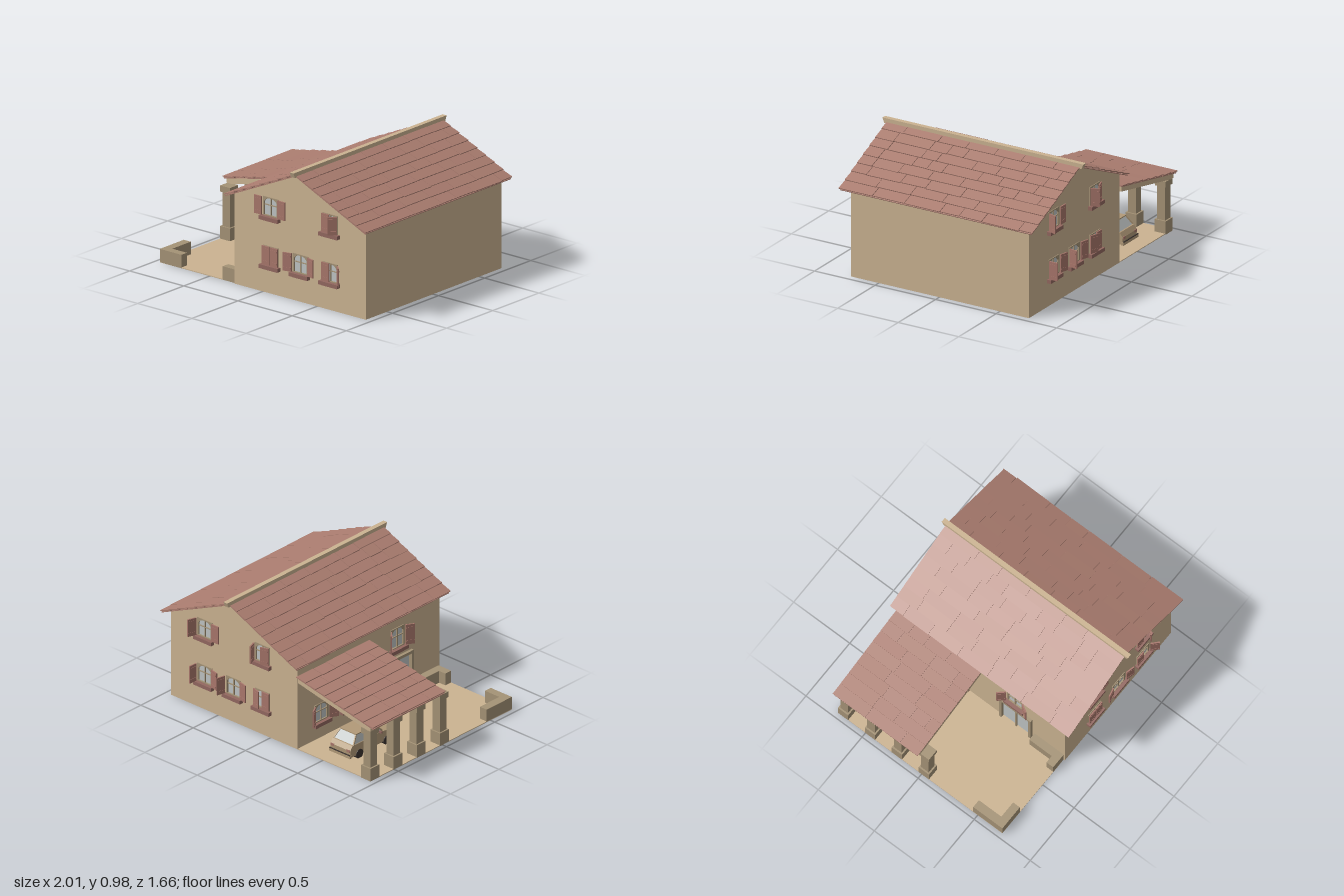
import * as THREE from 'three';

const mat = (name, color) => {
  const m = new THREE.MeshStandardMaterial({ color });
  m.name = name;
  return m;
};
const plaster = mat('plaster', 0xcbb391), stone = mat('stone', 0xa59376), tile = mat('roofTile', 0xab7d70);
const shutterMat = mat('shutterWood', 0xa8766b), sillMat = mat('sillWood', 0x936860);
const glass = mat('glass', 0xbfc4c4), paint = mat('carPaint', 0xb29a78), dark = mat('darkRubber', 0x3c3430);
glass.side = THREE.DoubleSide;

let seed = 7;
const rnd = () => (seed = (seed * 16807) % 2147483647) / 2147483647;

function add(parent, name, geo, material, x = 0, y = 0, z = 0) {
  const m = new THREE.Mesh(geo, material);
  m.name = name;
  m.position.set(x, y, z);
  parent.add(m);
  return m;
}
const box = (parent, name, material, w, h, d, x, y, z) =>
  add(parent, name, new THREE.BoxGeometry(w, h, d), material, x, y, z);
function group(parent, name, x = 0, y = 0, z = 0) {
  const g = new THREE.Group();
  g.name = name;
  g.position.set(x, y, z);
  parent.add(g);
  return g;
}
const extrude = (shape, depth) => new THREE.ExtrudeGeometry(shape, { depth, bevelEnabled: false, curveSegments: 6 });
const poly = pts => new THREE.Shape(pts.map(p => new THREE.Vector2(...p)));
const rect = (u, y, w, h) => [[u - w / 2, y - h / 2], [u + w / 2, y - h / 2], [u + w / 2, y + h / 2], [u - w / 2, y + h / 2]];

// Opening outline with a gently arched head
function archOutline(w, h, rise) {
  const s = new THREE.Shape();
  s.moveTo(-w / 2, -h / 2);
  s.lineTo(w / 2, -h / 2);
  s.lineTo(w / 2, h / 2 - rise);
  s.quadraticCurveTo(w / 2 - 0.015, h / 2, 0, h / 2);
  s.quadraticCurveTo(-w / 2 + 0.015, h / 2, -w / 2, h / 2 - rise);
  return s;
}

// Framed window with sill and two hinged shutters (angle 0 closed, PI folded back)
function addWindow(parent, { u, y, w = 0.14, h = 0.14, swing }) {
  const g = group(parent, 'window', u, y, 0);
  const frame = poly(rect(0, 0, w, h));
  frame.holes.push(archOutline(w - 0.024, h - 0.014, 0.03));
  add(g, 'windowFrame', extrude(frame, 0.018), stone, 0, 0, -0.012);
  add(g, 'windowPane', new THREE.PlaneGeometry(w - 0.01, h - 0.008), glass, 0, 0, -0.005);
  box(g, 'mullion', stone, 0.008, h - 0.014, 0.008, 0, 0, -0.001);
  box(g, 'glazingBar', stone, w - 0.024, 0.006, 0.008, 0, 0.012, -0.001);
  box(g, 'sill', sillMat, w + 0.032, 0.028, 0.034, 0, -h / 2 - 0.014, 0.016);
  box(g, 'sillBracket', sillMat, w, 0.01, 0.02, 0, -h / 2 - 0.03, 0.01);
  for (const side of [-1, 1]) {
    const hinge = group(g, 'shutter', side * (w / 2 + 0.003), 0, 0.014);
    hinge.rotation.y = side * swing[side < 0 ? 0 : 1];
    box(hinge, 'shutterLeaf', shutterMat, 0.068, h - 0.004, 0.01, -side * 0.035, 0, 0);
    for (const e of [-1, 1])
      box(hinge, 'shutterBatten', shutterMat, 0.056, 0.012, 0.014, -side * 0.035, e * h * 0.32, 0);
  }
}

// Thin wall in its own u/y plane, facing local +z, with openings cut out
function addWall(parent, name, outline, windows, place, angle, door) {
  const g = group(parent, name, ...place);
  g.rotation.y = angle;
  const s = poly(outline);
  for (const { u, y, w = 0.14, h = 0.14 } of windows) s.holes.push(poly(rect(u, y, w, h)));
  if (door) s.holes.push(poly(rect(door.u, door.h / 2 + 0.003, door.w, door.h - 0.004)));
  add(g, name + 'Panel', extrude(s, 0.01), plaster, 0, 0, -0.01);
  windows.forEach(o => addWindow(g, o));
  if (door) {
    const { u, w, h } = door;
    add(g, 'doorGlass', new THREE.PlaneGeometry(w, h), glass, u, h / 2, -0.004);
    for (const k of [-1, 0, 1])
      box(g, 'doorPost', stone, k ? 0.022 : 0.014, h, k ? 0.036 : 0.014, u + k * w / 2, h / 2, 0.004);
    box(g, 'doorLintel', stone, w + 0.022, 0.022, 0.036, u, h, 0.004);
  }
}

// Overlapping tile rows; local x climbs from the eave
function addRoof(parent, name, run, rise, z0, z1, rows, place, turn = 0) {
  const outer = group(parent, name, ...place);
  outer.rotation.y = turn;
  const g = group(outer, name + 'Slope');
  g.rotation.z = Math.atan2(rise, run);
  const len = Math.hypot(run, rise), step = len / rows, mid = (z0 + z1) / 2;
  box(g, 'roofDeck', tile, len, 0.006, z1 - z0 - 0.02, len / 2, 0.003, mid);
  for (let i = 0; i < rows; i++) {
    for (let z = z0; z < z1 - 0.001;) {
      let l = 0.12 + rnd() * 0.2;
      if (z1 - z - l < 0.08) l = z1 - z;
      const depth = i < rows - 1 ? step * 1.14 : step;
      const t = box(g, 'roofTile', tile, depth, 0.007, l - 0.004,
        i * step + depth / 2 + (rnd() - 0.5) * 0.006, 0.0125 + rnd() * 0.002, z + l / 2);
      t.rotation.z = -0.07 - rnd() * 0.03;
      t.rotation.y = (rnd() - 0.5) * 0.02;
      z += l;
    }
  }
}

function addCar(parent) {
  const car = group(parent, 'car', -0.57, 0, -0.4);
  const side = poly([[-0.23, 0.035], [0.225, 0.035], [0.235, 0.075], [0.22, 0.1], [0.09, 0.122], [-0.21, 0.122], [-0.235, 0.09]]);
  add(car, 'carBody', extrude(side, 0.19).rotateY(-Math.PI / 2), paint, 0.095, 0, 0);
  // Cabin narrowing toward the roof
  const cab = new THREE.BoxGeometry(0.182, 0.062, 0.3), p = cab.attributes.position;
  for (let i = 0; i < p.count; i++)
    if (p.getY(i) > 0) {
      p.setX(i, p.getX(i) * 0.82);
      p.setZ(i, p.getZ(i) * 0.68);
    }
  cab.computeVertexNormals();
  add(car, 'carWindows', cab, glass, 0, 0.152, -0.05);
  box(car, 'carRoof', paint, 0.156, 0.008, 0.212, 0, 0.185, -0.05);
  for (const s of [-1, 1]) {
    for (const e of [-1, 1]) {
      const post = box(car, 'roofPost', paint, 0.009, 0.072, 0.01, s * 0.083, 0.152, -0.05 + e * 0.126);
      post.rotation.set(-e * 0.66, 0, s * 0.25);
    }
    for (const z of [-0.14, 0.145])
      add(car, 'wheel', new THREE.CylinderGeometry(0.036, 0.036, 0.035, 16).rotateZ(Math.PI / 2), dark, s * 0.082, 0.036, z);
    box(car, 'wingMirror', sillMat, 0.022, 0.016, 0.012, s * 0.105, 0.128, 0.07);
    box(car, 'headlight', glass, 0.036, 0.016, 0.008, s * 0.07, 0.08, 0.233);
    box(car, 'tailLight', shutterMat, 0.03, 0.018, 0.008, s * 0.075, 0.085, -0.233);
  }
  box(car, 'grille', dark, 0.09, 0.012, 0.008, 0, 0.08, 0.233);
  for (const e of [-1, 1]) {
    box(car, 'bumper', paint, 0.2, 0.022, 0.02, 0, 0.044, e * 0.235);
    box(car, 'bumperStrip', dark, 0.196, 0.005, 0.008, 0, 0.058, e * 0.242);
  }
}

export function createModel() {
  const root = new THREE.Group();
  root.name = 'house';
  const PI = Math.PI, up = 0.643, low = 0.28;

  // Walls
  const gable = [[-0.26, 0], [0.95, 0], [0.95, 0.674], [0.35, 0.945], [-0.26, 0.674]];
  addWall(root, 'frontWall', gable, [
    { u: 0.075, y: up, swing: [PI, PI] }, { u: 0.625, y: up, swing: [0, 0.75] },
    { u: 0.075, y: low, swing: [0, 0] }, { u: 0.35, y: low, swing: [2.9, 2.9] }, { u: 0.625, y: low, swing: [0, 2.4] },
  ], [0, 0, 0.73], 0);
  addWall(root, 'backWall', gable.map(([x, y]) => [-x, y]).reverse(), [
    { u: -0.625, y: up, swing: [1.9, PI] }, { u: -0.075, y: up, swing: [1.2, 0.3] },
    { u: -0.625, y: low, swing: [1.6, 2.9] }, { u: -0.35, y: low, swing: [1.8, 2.9] }, { u: -0.075, y: low, swing: [0.3, 0] },
  ], [0, 0, -0.74], PI);
  addWall(root, 'porchSideWall', [[-0.74, 0], [0.73, 0], [0.73, 0.674], [-0.74, 0.674]], [
    { u: 0.29, y: 0.49, h: 0.16, swing: [2.4, 2.6] },
    { u: -0.22, y: 0.21, swing: [1.7, 2.6] }, { u: -0.5, y: 0.21, swing: [2.6, 2.6] },
  ], [-0.26, 0, 0], -PI / 2, { u: 0.3, w: 0.26, h: 0.33 });
  addWall(root, 'plainSideWall', [[-0.73, 0], [0.74, 0], [0.74, 0.674], [-0.73, 0.674]], [], [0.95, 0, 0], PI / 2);

  // Main roof and ridge
  addRoof(root, 'leftRoof', 0.65, 0.29, -0.8, 0.8, 8, [-0.295, 0.658, 0]);
  addRoof(root, 'rightRoof', 0.65, 0.29, -0.8, 0.8, 8, [0.995, 0.658, 0], PI);
  const ridge = poly([[-0.815, 0.945], [0.815, 0.945], [0.83, 0.983], [-0.83, 0.983]]);
  add(root, 'ridgeBeam', extrude(ridge, 0.036).rotateY(-PI / 2), plaster, 0.368, 0, 0);

  // Porch roof on a sloping slab
  addRoof(root, 'porchRoof', 0.73, 0.15, -0.765, -0.005, 8, [-0.995, 0.425, 0]);
  const slab = poly([[-0.965, 0.4], [-0.93, 0.4], [-0.27, 0.537], [-0.27, 0.573], [-0.965, 0.431]]);
  add(root, 'porchRoofSlab', extrude(slab, 0.74), plaster, 0, 0, -0.75);

  // Terrace floor and low corner walls
  box(root, 'terraceFloor', plaster, 0.7, 0.006, 1.46, -0.61, 0.003, -0.01);
  box(root, 'cornerWall', stone, 0.2, 0.1, 0.06, -0.86, 0.05, 0.69);
  box(root, 'cornerWall', stone, 0.065, 0.1, 0.2, -0.9275, 0.05, 0.56);
  box(root, 'cornerWall', stone, 0.12, 0.1, 0.06, -0.32, 0.05, 0.69);
  box(root, 'cornerWall', stone, 0.06, 0.1, 0.2, -0.29, 0.05, 0.56);

  // Porch columns
  for (let i = 0; i < 4; i++) {
    const c = group(root, 'porchColumn', -0.915, 0, 0.02 - i * 0.24);
    box(c, 'columnBase', stone, 0.092, 0.1, 0.092, 0, 0.05, 0);
    box(c, 'columnShaft', stone, 0.068, 0.26, 0.068, 0, 0.23, 0);
    box(c, 'columnCapital', stone, 0.09, 0.045, 0.09, 0, 0.378, 0);
  }

  addCar(root);
  return root;
}
